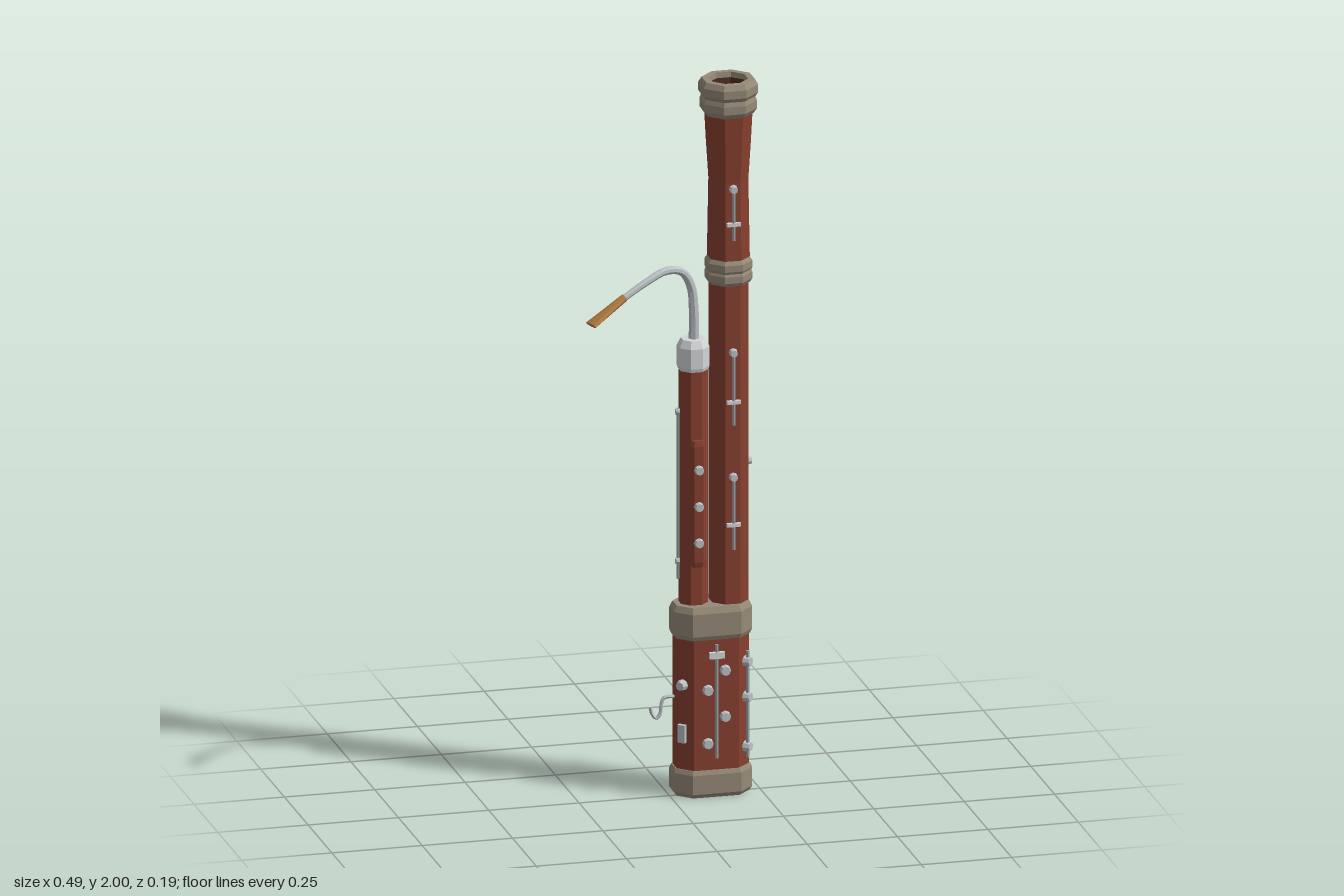
import * as THREE from 'three';

const mat = (name, color) => {
  const m = new THREE.MeshStandardMaterial({ color });
  m.name = name;
  return m;
};

// Split vertices so every facet gets its own normal
const facet = (geo) => {
  const g = geo.index ? geo.toNonIndexed() : geo;
  g.computeVertexNormals();
  return g;
};

// Chamfered-rectangle prism through [y, inset] levels
function loft(levels, hx, hz, c, { bottom = true, top = true } = {}) {
  const pos = [], idx = [];
  for (const [y, d] of levels) {
    const x = hx - d, z = hz - d, k = c - d * 0.586;
    for (const [px, pz] of [[x, -z + k], [x, z - k], [x - k, z], [-x + k, z],
      [-x, z - k], [-x, -z + k], [-x + k, -z], [x - k, -z]]) pos.push(px, y, pz);
  }
  const n = levels.length;
  for (let r = 0; r < n - 1; r++) for (let i = 0; i < 8; i++) {
    const a = r * 8 + i, b = r * 8 + (i + 1) % 8;
    idx.push(a, a + 8, b, b, a + 8, b + 8);
  }
  const t = (n - 1) * 8;
  for (let i = 1; i < 7; i++) {
    if (bottom) idx.push(0, i, i + 1);
    if (top) idx.push(t, t + i + 1, t + i);
  }
  const g = new THREE.BufferGeometry();
  g.setAttribute('position', new THREE.Float32BufferAttribute(pos, 3));
  g.setIndex(idx);
  return facet(g);
}
const octagon = (levels, a, caps) => loft(levels, a, a, a * 0.586, caps);

export function createModel() {
  const wood = mat('red wood', 0x87402f);
  const band = mat('taupe band', 0x968a78);
  const silver = mat('silver', 0xbcc2c6);
  const pale = mat('pale silver', 0xd3d6d8);
  const steel = mat('steel rod', 0x949b9f);
  const cane = mat('cane', 0xb27c42);
  const dark = mat('dark bore', 0x4a2a1d);

  const root = new THREE.Group();
  root.name = 'bassoon';
  const add = (name, geo, material, x = 0, y = 0, z = 0, parent = root) => {
    const m = new THREE.Mesh(geo, material);
    m.name = name;
    m.position.set(x, y, z);
    parent.add(m);
    return m;
  };

  // Boot with its two bands
  const BX = 0.119, BZ = -0.018;
  add('boot', loft([[0.05, 0.006], [0.47, 0.006]], 0.106, 0.066, 0.041), wood, BX, 0, BZ);
  add('bootBottomBand', loft([[0, 0.008], [0.012, 0], [0.05, 0], [0.065, 0], [0.077, 0.005]],
    0.108, 0.067, 0.041), band, BX, 0, BZ);
  add('bootTopBand', loft([[0.443, 0.005], [0.455, 0], [0.49, 0], [0.518, 0], [0.535, 0.008]],
    0.108, 0.067, 0.041), band, BX, 0, BZ);

  // Long joint and bell section
  const LX = 0.168, LZ = -0.019;
  add('longJoint', octagon([[0.5, 0], [1.45, 0]], 0.05), wood, LX, 0, LZ);
  add('middleBand', octagon([[1.43, 0.006], [1.44, 0], [1.458, 0], [1.465, 0.003], [1.472, 0],
    [1.49, 0], [1.502, 0.007]], 0.06), band, LX, 0, LZ);
  add('bellSection', octagon([[1.48, 0.007], [1.6, 0.009], [1.72, 0.011], [1.82, 0.005], [1.92, 0]],
    0.061, { top: false }), wood, LX, 0, LZ);
  add('bellBand', octagon([[1.904, 0.012], [1.918, 0.003], [1.94, 0.003], [1.952, 0.007], [1.963, 0],
    [1.985, 0], [2, 0.008], [2, 0.025], [1.985, 0.027]], 0.075, { top: false }), band, LX, 0, -0.021);
  add('bellBore', octagon([[1.99, 0], [1.72, 0.0499]], 0.05, { bottom: false }), dark, LX, 0, -0.021);

  // Wing joint with finger board and metal cap
  const WX = 0.071, WZ = -0.021;
  add('wingJoint', octagon([[0.5, 0], [1.21, 0]], 0.037), wood, WX, 0, WZ);
  add('fingerBoard', loft([[0.645, 0.004], [0.66, 0], [0.985, 0], [1, 0.004]], 0.019, 0.025, 0.007),
    wood, 0.073, 0, 0.008);
  add('wingCap', octagon([[1.19, 0.003], [1.2, 0], [1.255, 0], [1.276, 0.01]], 0.041), pale, WX, 0, WZ);

  // Tapered curved crook
  const path = new THREE.CatmullRomCurve3([
    [0.073, 1.26, -0.021], [0.073, 1.35, -0.021], [0.064, 1.425, -0.018], [0.038, 1.468, -0.01],
    [-0.01, 1.479, 0.004], [-0.065, 1.46, 0.021], [-0.14, 1.422, 0.041],
  ].map((p) => new THREE.Vector3(...p)));
  const STEPS = 22;
  const tube = new THREE.TubeGeometry(path, STEPS, 0.015, 8);
  const tp = tube.attributes.position, v = new THREE.Vector3();
  for (let i = 0; i < tp.count; i++) {
    const t = Math.floor(i / 9) / STEPS, c = path.getPointAt(t);
    v.fromBufferAttribute(tp, i).sub(c).multiplyScalar(1 - 0.42 * t).add(c);
    tp.setXYZ(i, v.x, v.y, v.z);
  }
  add('crook', facet(tube), silver);

  // Reed: round at the crook, flaring to a flat blade
  const from = new THREE.Vector3(-0.135, 1.425, 0.04), to = new THREE.Vector3(-0.236, 1.366, 0.071);
  const reedGeo = new THREE.CylinderGeometry(1, 1, from.distanceTo(to), 8, 3);
  const rp = reedGeo.attributes.position, len = from.distanceTo(to);
  for (let i = 0; i < rp.count; i++) {
    const t = rp.getY(i) / len + 0.5;
    rp.setX(i, rp.getX(i) * (0.011 + 0.015 * t));
    rp.setZ(i, rp.getZ(i) * (0.011 - 0.005 * t));
  }
  const along = to.clone().sub(from).normalize();
  const wide = new THREE.Vector3(0.29, 0, 0.957);
  const thick = wide.clone().cross(along).normalize();
  wide.crossVectors(along, thick);
  const reed = add('reed', facet(reedGeo), cane);
  reed.quaternion.setFromRotationMatrix(new THREE.Matrix4().makeBasis(wide, along, thick));
  reed.position.copy(from).add(to).multiplyScalar(0.5);

  // Keywork helpers: vertical rods, round key cups facing outward, crossbars
  const keys = new THREE.Group();
  keys.name = 'keywork';
  root.add(keys);
  const rod = (x, z, y0, y1, r = 0.005) =>
    add('keyRod', facet(new THREE.CylinderGeometry(r, r, y1 - y0, 6)), steel, x, (y0 + y1) / 2, z, keys);
  const up = new THREE.Vector3(0, 1, 0);
  const cup = (x, y, z, dx, dz, r = 0.014, depth = 0.018) => {
    const dir = new THREE.Vector3(dx, 0, dz).normalize();
    add('keyCup', facet(new THREE.CylinderGeometry(r * 0.75, r, depth, 8)), silver, x, y, z, keys)
      .quaternion.setFromUnitVectors(up, dir);
  };
  const bar = (x, y, z, w, h = 0.01, d = 0.01) =>
    add('keyBar', new THREE.BoxGeometry(w, h, d), pale, x, y, z, keys);

  // Long joint front keys
  for (const [y0, y1, cross] of [[1.56, 1.71, 1.605], [1.04, 1.25, 1.105], [0.69, 0.9, 0.76]]) {
    rod(LX, 0.037, y0, y1);
    cup(LX, y1 - 0.007, 0.037, 0, 1, 0.013);
    bar(LX, cross, 0.038, 0.038);
  }
  // Long joint side and back keys
  cup(0.222, 0.92, -0.018, 1, 0);
  rod(LX, -0.075, 0.655, 1.4, 0.006);
  for (const y of [0.77, 1.305]) cup(LX, y, -0.078, 0, -1);

  // Wing joint finger keys and side rod
  for (const y of [0.715, 0.817, 0.92]) cup(0.073, y, 0.036, 0, 1, 0.015);
  rod(0.031, -0.028, 0.6, 1.08, 0.004);
  for (const y of [0.65, 1.07]) cup(0.03, y, -0.026, -1, 0, 0.011, 0.012);

  // Boot front keys
  rod(BX, 0.045, 0.11, 0.43);
  bar(BX, 0.4, 0.047, 0.042, 0.018, 0.012);
  for (const [x, y] of [[0.143, 0.355], [0.095, 0.302], [0.143, 0.225], [0.095, 0.152]])
    cup(x, y, 0.046, 0, 1, 0.017);

  // Boot chamfer keys on both front corners
  rod(0.209, 0.028, 0.1, 0.4);
  for (const y of [0.13, 0.27, 0.37]) cup(0.21, y, 0.028, 1, 1, 0.016);
  cup(0.026, 0.315, 0.025, -1, 1, 0.016);
  const touch = add('keyTouch', new THREE.BoxGeometry(0.022, 0.05, 0.012), silver, 0.028, 0.18, 0.025, keys);
  touch.rotation.y = -Math.PI / 4;

  // Boot back keys
  rod(BX, -0.083, 0.14, 0.42);
  cup(0.1, 0.24, -0.09, 0, -1, 0.017);

  // Hand hook
  const hook = new THREE.CatmullRomCurve3([[0.03, 0.27], [-0.008, 0.27], [-0.016, 0.255], [-0.02, 0.225],
    [-0.031, 0.213], [-0.042, 0.225], [-0.047, 0.245]].map(([x, y]) => new THREE.Vector3(x, y, -0.022)));
  add('handHook', facet(new THREE.TubeGeometry(hook, 18, 0.005, 6)), silver);

  return root;
}
